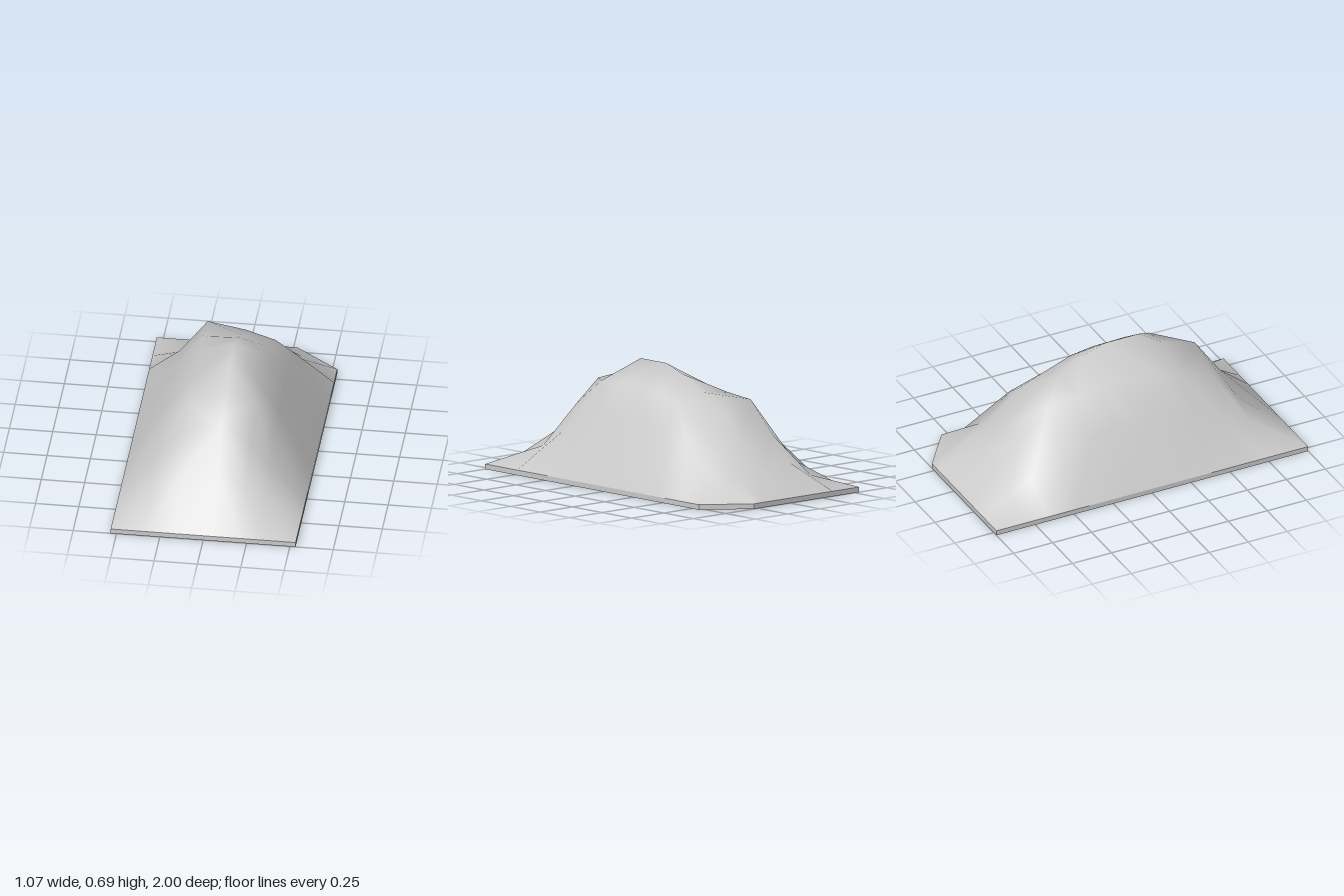
import * as THREE from 'three';

const RIM = 0.03;
const xs = [-0.533, -0.33, -0.17, 0.05, 0.22, 0.33, 0.533];

// Cross-sections from back to front: z, then the heights at the inner x stations
const sections = [
  [-1.0, RIM, RIM, RIM, RIM, RIM],
  [-0.81, 0.10, 0.19, 0.18, 0.16, 0.10],
  [-0.67, 0.17, 0.33, 0.30, 0.26, 0.18],
  [-0.48, 0.30, 0.515, 0.475, 0.42, 0.34],
  [-0.30, 0.33, 0.53, 0.56, 0.49, 0.38],
  [-0.14, 0.355, 0.55, 0.645, 0.55, 0.40],
  [0.0, 0.355, 0.55, 0.69, 0.57, 0.40],
  [0.21, 0.35, 0.56, 0.69, 0.575, 0.40],
  [0.36, 0.32, 0.51, 0.595, 0.56, 0.36],
  [0.57, 0.24, 0.43, 0.53, 0.40, 0.25],
  [0.73, 0.17, 0.24, 0.30, 0.23, 0.15],
  [1.0, RIM, RIM, RIM, RIM, RIM],
];

function hillGeometry() {
  const cols = xs.length;
  const positions = [];
  const indices = [];
  sections.forEach(([z, ...inner], row) => {
    const heights = [RIM, ...inner, RIM];
    xs.forEach((x, col) => {
      // The back row bends along the cut corner
      if (row === 0 && col === cols - 2) positions.push(0.28, RIM, -1);
      else if (row === 0 && col === cols - 1) positions.push(0.4065, RIM, -0.905);
      else positions.push(x, heights[col], z);
    });
  });
  const y = (i) => positions[i * 3 + 1];
  for (let row = 0; row < sections.length - 1; row++) {
    for (let col = 0; col < cols - 1; col++) {
      const a = row * cols + col, b = a + 1, c = a + cols, d = c + 1;
      // Split each patch along its higher diagonal
      if (y(a) + y(d) > y(b) + y(c)) indices.push(a, c, d, a, d, b);
      else indices.push(a, c, b, b, c, d);
    }
  }
  const geometry = new THREE.BufferGeometry();
  geometry.setAttribute('position', new THREE.Float32BufferAttribute(positions, 3));
  geometry.setIndex(indices);
  geometry.computeVertexNormals();
  return geometry;
}

function baseGeometry() {
  const outline = [[-0.533, -1], [0.28, -1], [0.533, -0.81], [0.533, 1], [-0.533, 1]];
  const shape = new THREE.Shape(outline.map(([x, z]) => new THREE.Vector2(x, z)));
  return new THREE.ExtrudeGeometry(shape, { depth: RIM, bevelEnabled: false })
    .rotateX(Math.PI / 2)
    .translate(0, RIM, 0);
}

export function createModel() {
  const group = new THREE.Group();
  group.name = 'hill';
  const material = new THREE.MeshStandardMaterial({ color: 0xcccccc });

  // Sloping ground
  const hill = new THREE.Mesh(hillGeometry(), material);
  hill.name = 'hillSurface';

  // Thin slab underneath, with one corner cut off
  const base = new THREE.Mesh(baseGeometry(), material);
  base.name = 'baseSlab';

  group.add(hill, base);
  return group;
}
